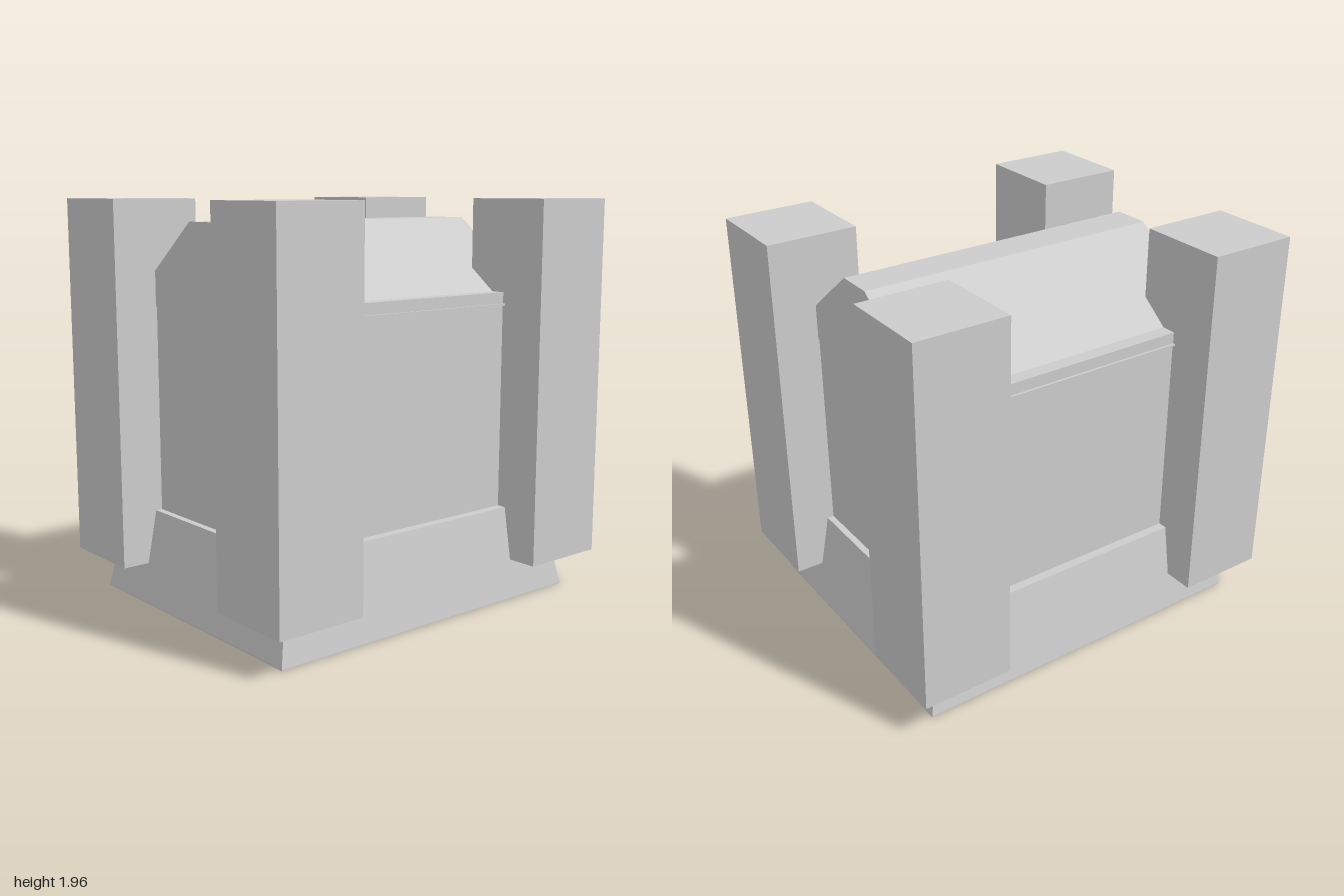
import * as THREE from 'three';

export function createModel() {
  const model = new THREE.Group();
  const stone = new THREE.MeshStandardMaterial({ color: 0xcccccc });
  stone.name = 'paleStone';

  function add(name, geometry, x = 0, y = 0, z = 0) {
    const mesh = new THREE.Mesh(geometry, stone);
    mesh.name = name;
    mesh.position.set(x, y, z);
    model.add(mesh);
  }

  // Block standing between two heights
  function block(name, width, bottom, top, depth, x = 0, z = 0) {
    add(name, new THREE.BoxGeometry(width, top - bottom, depth), x, (bottom + top) / 2, z);
  }

  // Tapered base: a box whose upper corners are drawn inwards
  const base = new THREE.BoxGeometry(1.8, 0.444, 1.46);
  const p = base.attributes.position;
  for (let i = 0; i < p.count; i++) {
    if (p.getY(i) > 0) {
      p.setX(i, Math.sign(p.getX(i)) * 0.813);
      p.setZ(i, Math.sign(p.getZ(i)) * 0.655);
    }
  }
  base.computeVertexNormals();
  block('baseFoot', 1.8, 0, 0.006, 1.46);
  add('base', base, 0, 0.228, 0);

  // Main chest and the thin flange under the lid
  block('body', 1.56, 0.45, 1.45, 1.22);
  block('lidFlange', 1.57, 1.45, 1.46, 1.25);

  // Gabled lid with a flat ridge and narrow ledges, extruded along x
  const half = [[0.612, 1.46], [0.612, 1.515], [0.54, 1.515], [0.093, 1.862]];
  const outline = [...half, ...half.map(([z, y]) => [-z, y]).reverse()];
  const lid = new THREE.ExtrudeGeometry(
    new THREE.Shape(outline.map(([z, y]) => new THREE.Vector2(z, y))),
    { depth: 1.57, bevelEnabled: false }
  );
  lid.translate(0, 0, -0.785).rotateY(Math.PI / 2);
  add('lid', lid);

  // Four square corner posts
  for (const [side, x] of [['left', 0.775], ['right', -0.775]]) {
    for (const [end, z] of [['Front', 0.625], ['Back', -0.625]]) {
      block(side + end + 'Post', 0.45, 0.19, 1.963, 0.45, x, z);
    }
  }
  return model;
}
